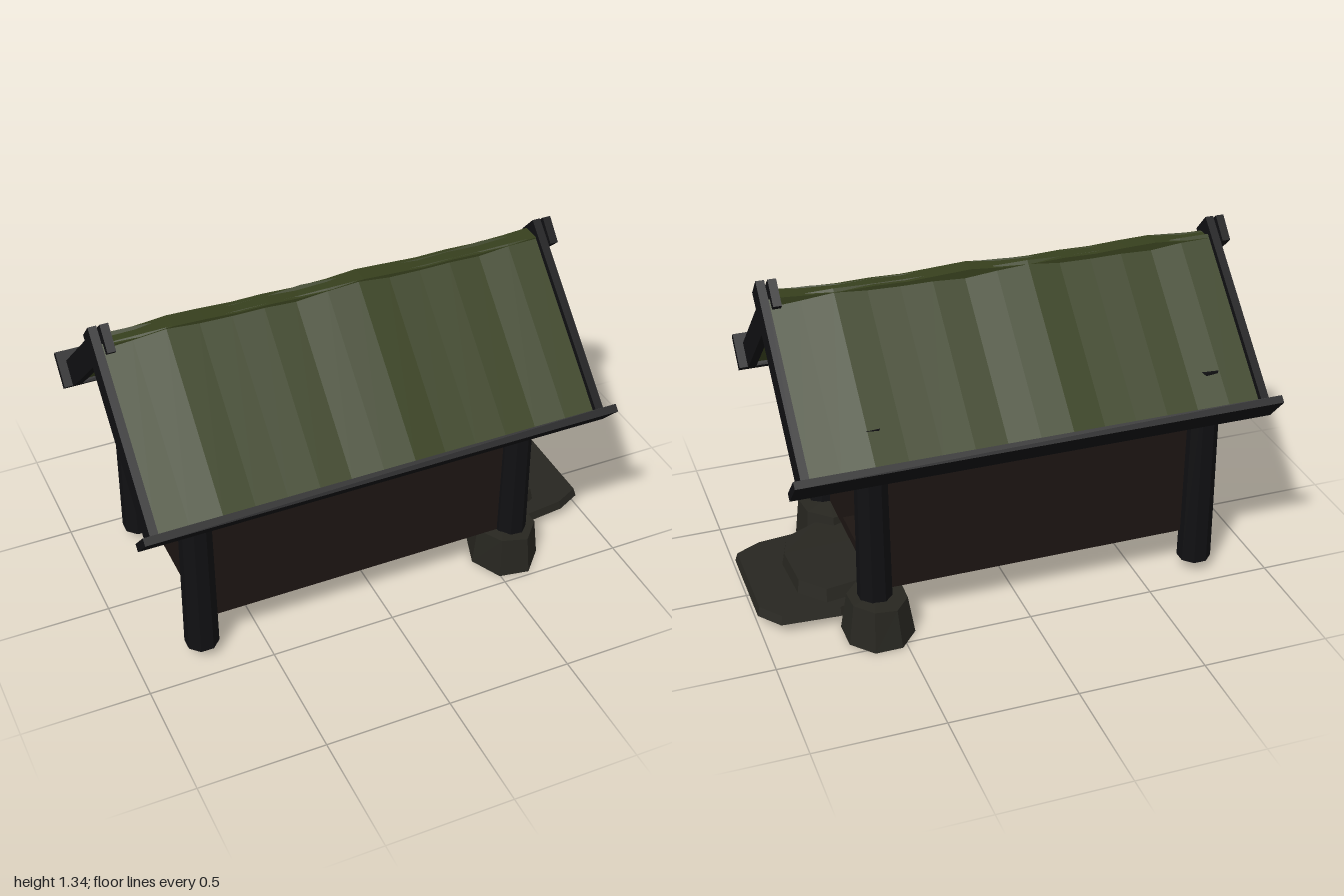
import * as THREE from 'three';

const mat = (color) => new THREE.MeshStandardMaterial({ color, flatShading: true });

export function createModel() {
  const root = new THREE.Group();
  const timber = mat(0x101012), plank = mat(0x1c1512), moss = mat(0x363f1d), stone = mat(0x272620);

  const add = (parent, name, geometry, material, x = 0, y = 0, z = 0) => {
    const mesh = new THREE.Mesh(geometry, material);
    mesh.name = name;
    mesh.position.set(x, y, z);
    parent.add(mesh);
    return mesh;
  };
  const box = (w, h, d) => new THREE.BoxGeometry(w, h, d);

  // House body: gabled prism, with a pierced wall in front of it on the door end
  const gable = () => new THREE.Shape([
    [-0.37, 0.17], [0.37, 0.17], [0.37, 0.865], [0, 1.21], [-0.37, 0.865],
  ].map(([x, y]) => new THREE.Vector2(x, y)));
  const hole = (x0, x1, y0, y1) => new THREE.Path([
    [x0, y0], [x0, y1], [x1, y1], [x1, y0],
  ].map(([x, y]) => new THREE.Vector2(x, y)));
  const prism = (shape, depth) =>
    new THREE.ExtrudeGeometry(shape, { depth, bevelEnabled: false }).rotateY(Math.PI / 2);

  add(root, 'houseBody', prism(gable(), 1.23), plank, -0.73);
  const wall = gable();
  wall.holes.push(hole(-0.095, 0.11, 0.215, 0.62), hole(-0.055, 0.07, 0.71, 0.9)); // door, window
  add(root, 'doorWall', prism(wall, 0.075), plank, 0.5);

  // Corner posts: the rear pair runs lower, the door pair stands on stones
  for (const [x, bottom] of [[-0.74, 0.05], [0.583, 0.16]]) {
    for (const z of [0.36, -0.38]) {
      const h = 0.9 - bottom;
      const post = new THREE.CylinderGeometry(0.06, 0.067, h, 8).rotateY(Math.PI / 8);
      add(root, 'cornerPost', post, timber, x, bottom + h / 2, z);
    }
  }

  // Roof: each side is laid out flat (z runs down the slope), then tilted
  const pitch = THREE.MathUtils.degToRad(43);
  const wave = (x) => 0.005 * Math.sin(x * 9 + 0.5) + 0.004 * Math.sin(x * 17);
  const ripple = (geometry, offset, onlyTop) => {
    const p = geometry.attributes.position;
    for (let i = 0; i < p.count; i++) {
      const x = p.getX(i) + offset;
      if (p.getY(i) > 0) p.setY(i, p.getY(i) + wave(x));
      if (!onlyTop && p.getZ(i) > 0) p.setZ(i, p.getZ(i) + wave(x + 1) * 0.6);
    }
    geometry.computeVertexNormals();
    return geometry;
  };
  for (const s of [1, -1]) {
    const side = new THREE.Group();
    side.name = s > 0 ? 'frontRoof' : 'backRoof';
    side.rotation.set(pitch, s > 0 ? 0 : Math.PI, 0, 'YXZ');
    side.position.set(s > 0 ? -0.066 : -0.022, 1.335, 0);
    const slab = ripple(new THREE.BoxGeometry(1.75, 0.055, 0.705, 14, 1, 1), 0, false);
    add(side, 'mossSlab', slab, moss, 0, -0.058, 0.414);
    for (const e of [1, -1]) add(side, 'vergeBoard', box(0.032, 0.105, 0.767), timber, e * 0.885, -0.0525, 0.3835);
    add(side, 'eaveBoard', box(1.87, 0.143, 0.03), timber, 0, -0.03, 0.781);
    root.add(side);
  }
  const ridge = ripple(new THREE.BoxGeometry(1.74, 0.07, 0.076, 14, 1, 1), -0.045, true);
  add(root, 'ridgeCap', ridge, moss, -0.045, 1.235, -0.004);

  // Foundation stones under the door-end posts
  const boulder = (rx, rz, top, h, sides, turn) => {
    const g = new THREE.CylinderGeometry(top, 1, h, sides).rotateY(turn);
    const p = g.attributes.position;
    for (let i = 0; i < p.count; i++) {
      // slope the top a little
      if (p.getY(i) > 0) p.setY(i, p.getY(i) - 0.015 * Math.abs(p.getX(i) + p.getZ(i)));
    }
    g.scale(rx, 1, rz);
    g.computeVertexNormals();
    return g;
  };
  add(root, 'postStone', boulder(0.14, 0.165, 0.88, 0.175, 7, 0.3), stone, 0.575, 0.0875, 0.325);
  add(root, 'postStone', boulder(0.14, 0.16, 0.82, 0.17, 8, 0.4), stone, 0.575, 0.085, -0.38);

  // Irregular flat stones forming the doorstep (outline as x, z)
  const step = (name, outline, y0, y1, inset) => {
    const shape = new THREE.Shape(outline.map(([x, z]) => new THREE.Vector2(x, -z)));
    const g = new THREE.ExtrudeGeometry(shape, { depth: y1 - y0, bevelEnabled: false }).rotateX(-Math.PI / 2);
    const p = g.attributes.position;
    for (let i = 0; i < p.count; i++) {
      if (p.getY(i) < 0.001) continue;
      p.setX(i, 0.68 + (p.getX(i) - 0.68) * inset);
      p.setZ(i, p.getZ(i) * inset);
    }
    g.computeVertexNormals();
    add(root, name, g, stone, 0, y0, 0);
  };
  step('lowerStep', [[0.36, 0.08], [0.48, 0.23], [0.68, 0.265], [0.9, 0.24], [1, 0.19],
    [1, -0.21], [0.93, -0.3], [0.7, -0.315], [0.45, -0.24], [0.37, -0.1]], 0.045, 0.08, 0.97);
  step('upperStep', [[0.41, 0.06], [0.5, 0.2], [0.66, 0.24], [0.8, 0.17], [0.84, 0.05],
    [0.83, -0.16], [0.74, -0.26], [0.55, -0.23], [0.43, -0.12]], 0.08, 0.13, 0.94);

  return root;
}
